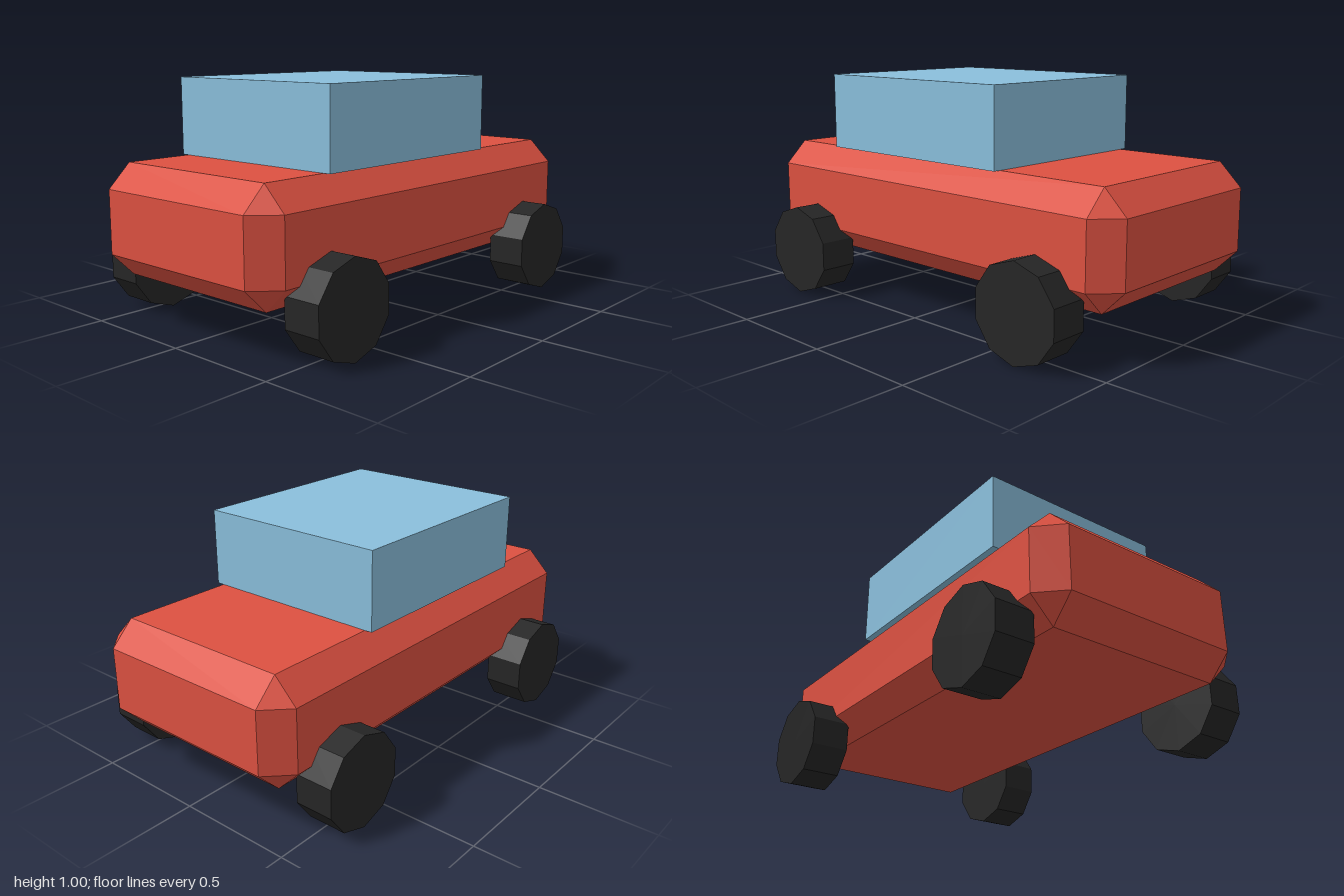
import * as THREE from 'three';
import { ConvexGeometry } from 'three/addons/geometries/ConvexGeometry.js';

// Box with every edge cut at 45 degrees and triangular corners
function chamferedBox(w, h, d, c) {
  const points = [];
  for (const sx of [-1, 1]) for (const sy of [-1, 1]) for (const sz of [-1, 1]) {
    const x = w / 2, y = h / 2, z = d / 2;
    points.push(
      new THREE.Vector3(sx * x, sy * (y - c), sz * (z - c)),
      new THREE.Vector3(sx * (x - c), sy * y, sz * (z - c)),
      new THREE.Vector3(sx * (x - c), sy * (y - c), sz * z)
    );
  }
  return new ConvexGeometry(points);
}

export function createModel() {
  const car = new THREE.Group();
  car.name = 'car';

  const material = (name, color) => {
    const m = new THREE.MeshStandardMaterial({ color, flatShading: true });
    m.name = name;
    return m;
  };
  const red = material('red paint', 0xdd5141);
  const blue = material('blue glass', 0x8abfdc);
  const black = material('black rubber', 0x262626);

  const add = (name, geometry, mat, x, y, z) => {
    const mesh = new THREE.Mesh(geometry, mat);
    mesh.name = name;
    mesh.position.set(x, y, z);
    car.add(mesh);
  };

  // Body and cabin
  add('body', chamferedBox(2, 0.467, 1, 0.1), red, 0, 0.4335, 0);
  add('cabin', new THREE.BoxGeometry(1, 0.333, 0.867), blue, -0.1, 0.8335, 0);

  // Four ten-sided wheels
  const wheel = new THREE.CylinderGeometry(0.2, 0.2, 0.167, 10).rotateX(Math.PI / 2);
  for (const [end, x] of [['front', 0.667], ['rear', -0.667]]) {
    for (const [side, z] of [['Near', 0.533], ['Far', -0.533]]) {
      add(`${end}${side}Wheel`, wheel, black, x, 0.2, z);
    }
  }
  return car;
}
